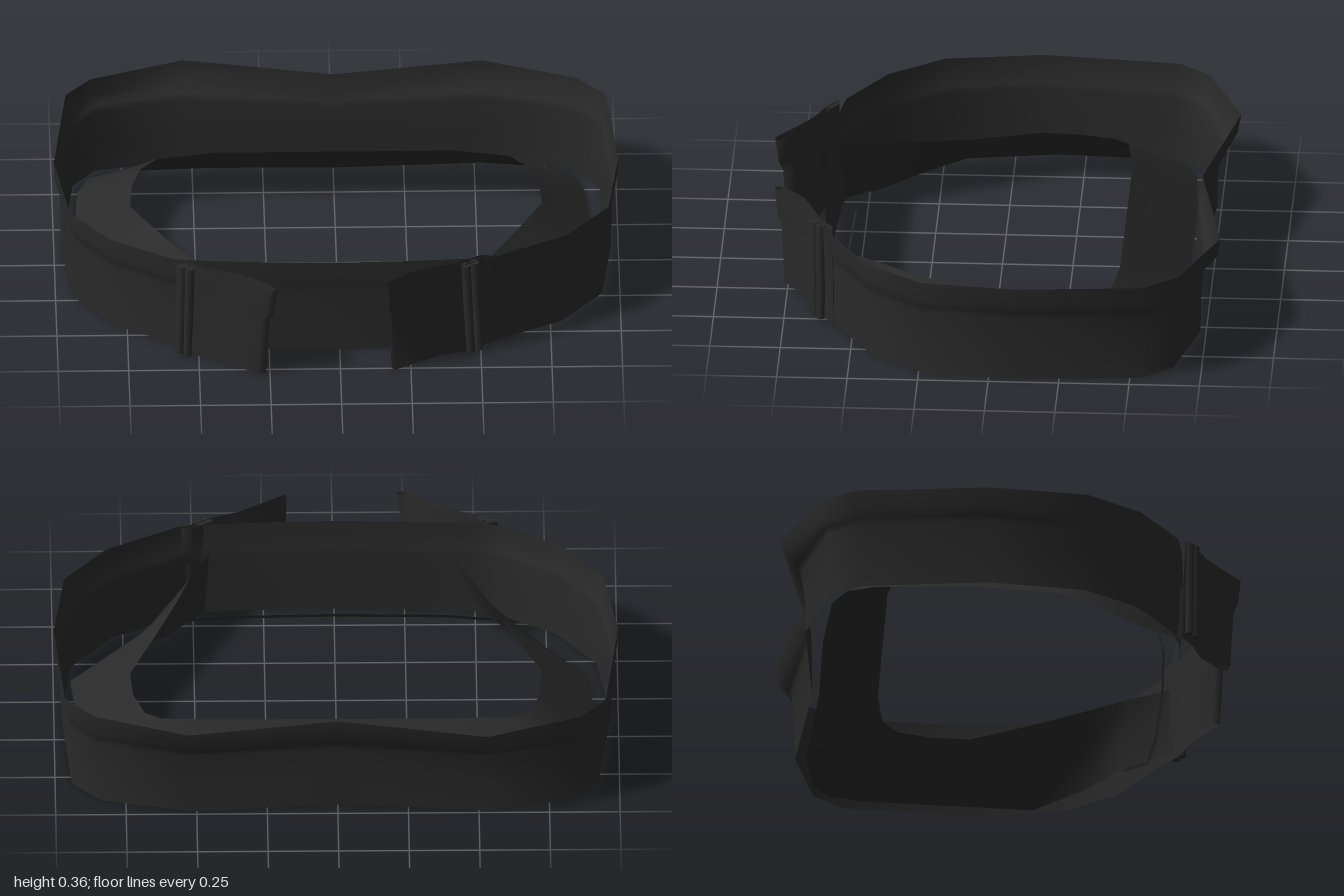
import * as THREE from 'three';

const cloth = new THREE.MeshStandardMaterial({ color: 0x2a2a2a, side: THREE.DoubleSide });
cloth.name = 'black cloth';

// Smooth sheet through rows of [x, y, z] points; closed joins each row's end to its start
function sheet(name, rows, closed = false) {
  const n = rows[0].length;
  const index = [];
  for (let r = 0; r < rows.length - 1; r++) {
    for (let i = 0; i < (closed ? n : n - 1); i++) {
      const a = r * n + i, b = r * n + (i + 1) % n;
      index.push(a, b, b + n, a, b + n, a + n);
    }
  }
  const geometry = new THREE.BufferGeometry();
  geometry.setAttribute('position', new THREE.Float32BufferAttribute(rows.flat(2), 3));
  geometry.setIndex(index);
  geometry.computeVertexNormals();
  const mesh = new THREE.Mesh(geometry, cloth);
  mesh.name = name;
  return mesh;
}

// Plan of the band at its top edge and at its foot: [x top, z top, x foot, z foot]
const bandPlan = [
  [0, 0.622, 0, 0.612], [-0.25, 0.615, -0.25, 0.605], [-0.48, 0.602, -0.48, 0.592],
  [-0.59, 0.585, -0.58, 0.565], [-0.81, 0.445, -0.79, 0.43], [-0.95, 0.25, -0.925, 0.24],
  [-1, -0.1, -0.975, -0.1], [-0.95, -0.58, -0.925, -0.56], [-0.86, -0.69, -0.845, -0.665],
  [-0.53, -0.82, -0.53, -0.735], [0, -0.71, 0, -0.69], [0.53, -0.8, 0.53, -0.73],
  [0.86, -0.67, 0.845, -0.65], [0.965, -0.55, 0.94, -0.54], [1, -0.1, 0.975, -0.1],
  [0.96, 0.245, 0.935, 0.235], [0.81, 0.44, 0.79, 0.425], [0.55, 0.59, 0.54, 0.565],
  [0.46, 0.602, 0.46, 0.592], [0.25, 0.615, 0.25, 0.605],
];

// Sloping inner liner: [x outer, z outer, x inner, z inner, y inner]
const linerPlan = [
  [-0.5, 0.62, -0.36, 0.68, 0.28], [-0.6, 0.47, -0.46, 0.47, 0.25],
  [-0.78, 0.29, -0.55, 0.29, 0.22], [-0.88, 0.17, -0.61, 0.16, 0.2],
  [-0.93, -0.15, -0.73, -0.1, 0.18], [-0.91, -0.5, -0.72, -0.25, 0.18],
  [-0.87, -0.6, -0.69, -0.36, 0.18], [-0.77, -0.65, -0.63, -0.415, 0.19],
  [-0.43, -0.67, -0.43, -0.44, 0.2], [0, -0.665, 0, -0.44, 0.2],
  [0.53, -0.69, 0.43, -0.44, 0.2], [0.76, -0.655, 0.62, -0.415, 0.19],
  [0.85, -0.6, 0.68, -0.36, 0.18], [0.89, -0.48, 0.72, -0.24, 0.18],
  [0.92, -0.1, 0.73, -0.1, 0.18], [0.94, 0.13, 0.63, 0.14, 0.2],
  [0.77, 0.3, 0.56, 0.31, 0.22], [0.6, 0.42, 0.51, 0.44, 0.24],
  [0.43, 0.625, 0.42, 0.63, 0.25],
];

// Free end of the band: a thin folded strip whose foot tucks in below a crease
function flap(name, plan, footShift) {
  const row = (y, t) => plan.map(([x, z]) => {
    const reach = Math.max(0, (z - 0.62) / 0.19);
    return [x + footShift * reach * t, y, z - 0.03 * reach * t - 0.008 * t];
  });
  return sheet(name, [row(0, 1), row(0.22, 0.7), row(0.26, 0.3), row(0.36, 0)], true);
}

export function createModel() {
  const model = new THREE.Group();
  model.name = 'belt';

  // Outer band, with the upper edge flaring into a lip
  const profile = [[0, 0], [0.12, 0.02], [0.235, 0.15], [0.26, 0.35], [0.29, 0.85], [0.36, 1]];
  model.add(sheet('outerBand', profile.map(([y, t]) => bandPlan.map(([xt, zt, xf, zf]) =>
    [xf + (xt - xf) * t, y, zf + (zt - zf) * t])), true));

  // Liner rising from the foot towards the middle
  model.add(sheet('innerLiner', [
    linerPlan.map(([x, z]) => [x, 0.005, z]),
    linerPlan.map(([xo, zo, xi, zi, y]) => [(xo + xi) / 2, y / 2, (zo + zi) / 2]),
    linerPlan.map(([, , x, z, y]) => [x, y, z]),
  ]));

  // Narrow strip closing the liner across the front
  const strip = [[-0.56, 0.52], [-0.4, 0.545], [0, 0.555], [0.35, 0.545], [0.53, 0.525], [0.6, 0.44]];
  model.add(sheet('linerFrontStrip', [0.002, 0.018].map((y, i) =>
    strip.map(([x, z]) => [x, y, z - 0.008 * i]))));

  // Overlapping ends at the front
  model.add(flap('rightFlap', [[-0.58, 0.61], [-0.5, 0.66], [-0.43, 0.69], [-0.35, 0.745],
    [-0.25, 0.82], [-0.225, 0.81], [-0.26, 0.765], [-0.36, 0.69], [-0.46, 0.655], [-0.54, 0.61]], -0.04));
  model.add(flap('leftFlap', [[0.54, 0.58], [0.44, 0.645], [0.34, 0.685], [0.28, 0.725],
    [0.17, 0.8], [0.165, 0.77], [0.25, 0.695], [0.33, 0.66], [0.43, 0.625], [0.5, 0.575]], 0.02));

  // Paired upright rolls where the ends leave the band
  const seams = [
    ['rightSeam', -0.535, 0.645, -0.03], ['rightSeam', -0.56, 0.625, -0.03],
    ['leftSeam', 0.455, 0.64, 0.05], ['leftSeam', 0.485, 0.62, 0.05],
  ];
  for (const [name, x, z, lean] of seams) {
    const seam = new THREE.Mesh(new THREE.CylinderGeometry(0.018, 0.014, 0.355, 8), cloth);
    seam.name = name;
    seam.position.set(x, 0.179, z);
    seam.rotation.z = lean;
    model.add(seam);
  }
  return model;
}
